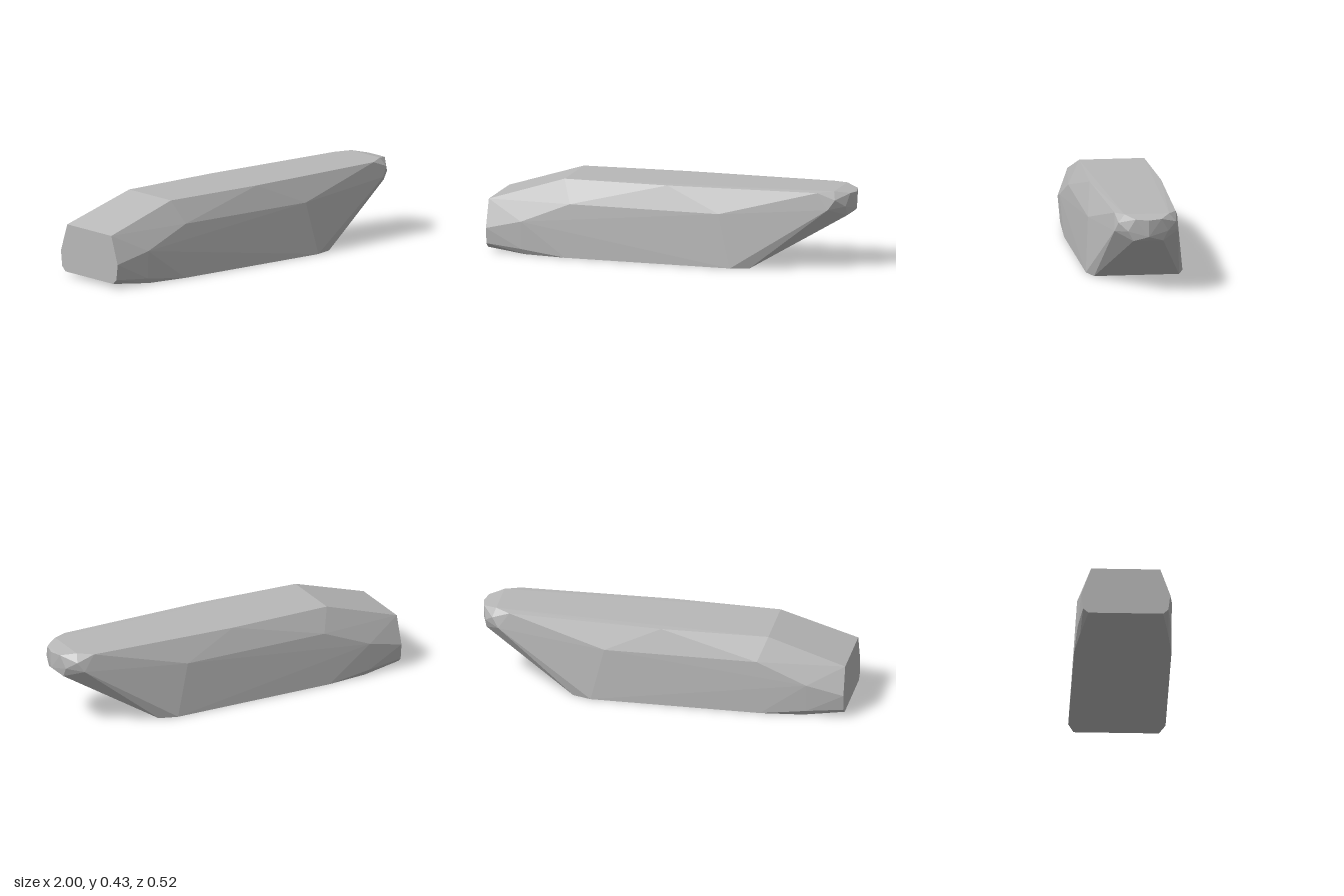
import * as THREE from 'three';
import { ConvexGeometry } from 'three/addons/geometries/ConvexGeometry.js';

// Half-hull corners [x, y, z], mirrored across z = 0
const rear = [[-1, 0.02, 0.2], [-1, 0.045, 0.228], [-1, 0.13, 0.238], [-1, 0.28, 0.185]];
const keel = [[-0.78, 0, 0.235], [-0.8, 0.03, 0.25], [-0.55, 0, 0.26], [0.37, 0, 0.26], [0.47, 0, 0.228]];
const flank = [[-0.8, 0.18, 0.253], [-0.53, 0.29, 0.241], [0.3, 0.288, 0.24]];
const deck = [[-0.58, 0.413, 0.175], [0, 0.416, 0.192], [0.83, 0.421, 0.165], [0.91, 0.427, 0.12]];
const nose = [[0.985, 0.412, 0.07], [0.925, 0.385, 0.155], [0.97, 0.345, 0.108],
  [0.89, 0.333, 0.172], [0.97, 0.292, 0.08], [1, 0.408, 0], [1, 0.318, 0]];

export function createModel() {
  const grey = new THREE.MeshStandardMaterial({ color: 0xb8b8b8, flatShading: true });
  grey.name = 'hullGrey';

  const points = [];
  for (const [x, y, z] of [...rear, ...keel, ...flank, ...deck, ...nose]) {
    points.push(new THREE.Vector3(x, y, z));
    if (z > 0) points.push(new THREE.Vector3(x, y, -z));
  }

  // Faceted closed hull with a blunt stern and a raked, rounded nose
  const hull = new THREE.Mesh(new ConvexGeometry(points), grey);
  hull.name = 'hull';

  const group = new THREE.Group();
  group.name = 'facetedHull';
  group.add(hull);
  return group;
}
